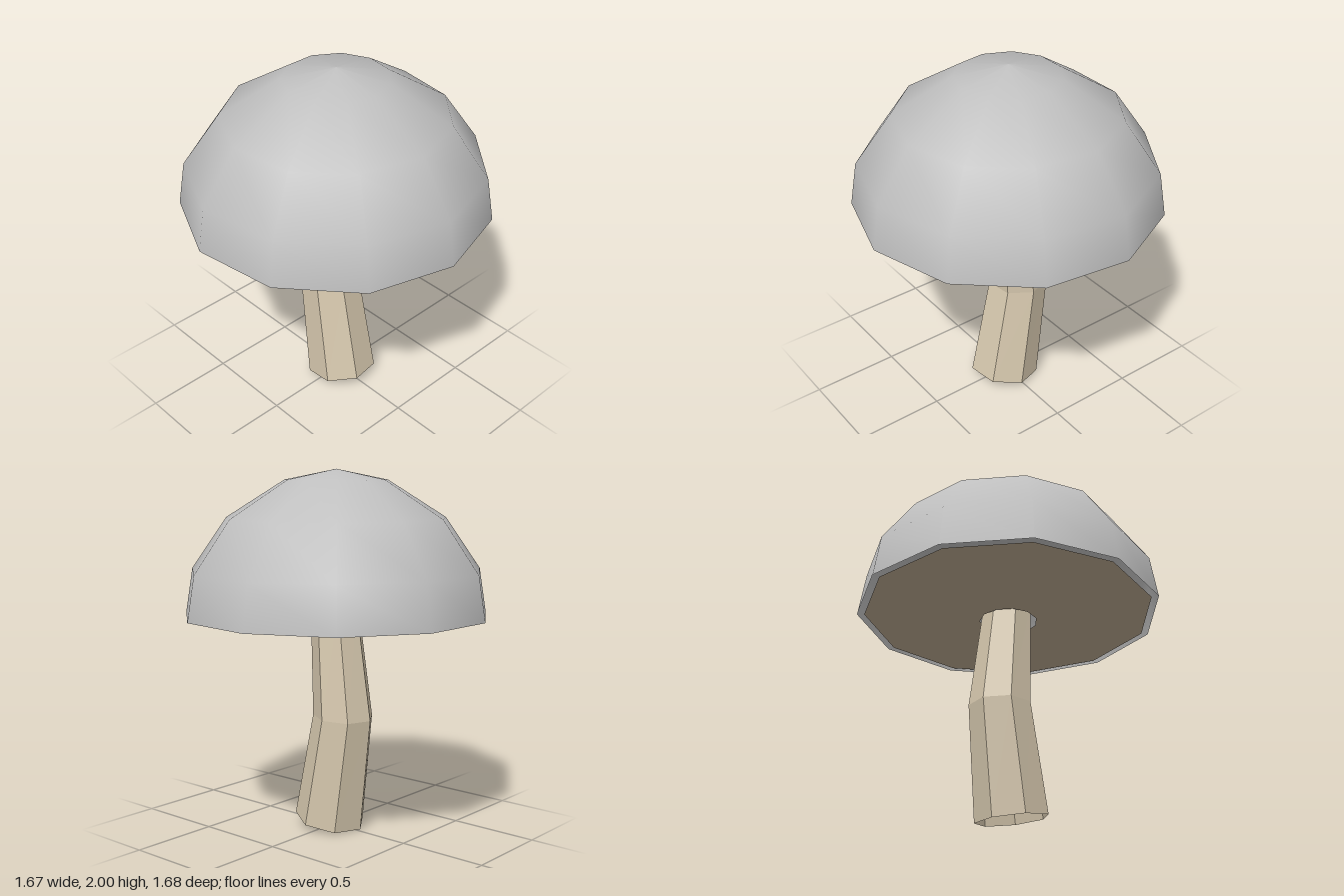
import * as THREE from 'three';

function material(name, color, extra = {}) {
  const m = new THREE.MeshStandardMaterial({ color, side: THREE.DoubleSide, ...extra });
  m.name = name;
  return m;
}

// Surface of revolution with eleven sides and a corner on +x
function turned(name, points, mat) {
  const profile = points.map(([r, y]) => new THREE.Vector2(r, y));
  const mesh = new THREE.Mesh(new THREE.LatheGeometry(profile, 11, Math.PI / 2), mat);
  mesh.name = name;
  mesh.position.x = -0.02;
  return mesh;
}

// Open seven-sided tube through tilted rings: x, y, radius, rise per unit x
function bentStem(rings, mat) {
  const sides = 7, start = 0.29, positions = [], index = [];
  for (const [cx, cy, r, slope] of rings) {
    for (let i = 0; i < sides; i++) {
      const a = start + (i / sides) * Math.PI * 2;
      const dx = r * Math.cos(a);
      positions.push(cx + dx, cy + dx * slope, r * Math.sin(a) - 0.006);
    }
  }
  for (let k = 0; k < rings.length - 1; k++) {
    for (let i = 0; i < sides; i++) {
      const a = k * sides + i, b = k * sides + (i + 1) % sides;
      index.push(a, a + sides, b, b, a + sides, b + sides);
    }
  }
  const geo = new THREE.BufferGeometry();
  geo.setAttribute('position', new THREE.Float32BufferAttribute(positions, 3));
  geo.setIndex(index);
  geo.computeVertexNormals();
  const mesh = new THREE.Mesh(geo, mat);
  mesh.name = 'stem';
  return mesh;
}

export function createModel() {
  const group = new THREE.Group();
  group.name = 'mushroom';
  const capGrey = material('cap grey', 0xbfbfbf);
  const stemBeige = material('stem beige', 0xd6c8ae, { flatShading: true });
  const gillBrown = material('gill brown', 0xbcaa92, { flatShading: true });

  // Domed cap, open underneath
  group.add(turned('cap', [[0.85, 1.21], [0.81, 1.455], [0.612, 1.738], [0.285, 1.942], [0, 2]], capGrey));

  // Shallow underside with a hole for the stem, set just inside the rim
  group.add(turned('gills', [[0.16, 1.17], [0.81, 1.21]], gillBrown));

  // Bent, tapering stem
  group.add(bentStem([
    [0.018, 0.036, 0.198, 0.175],
    [-0.08, 0.645, 0.17, 0.05],
    [-0.02, 1.25, 0.136, -0.02],
  ], stemBeige));

  return group;
}
